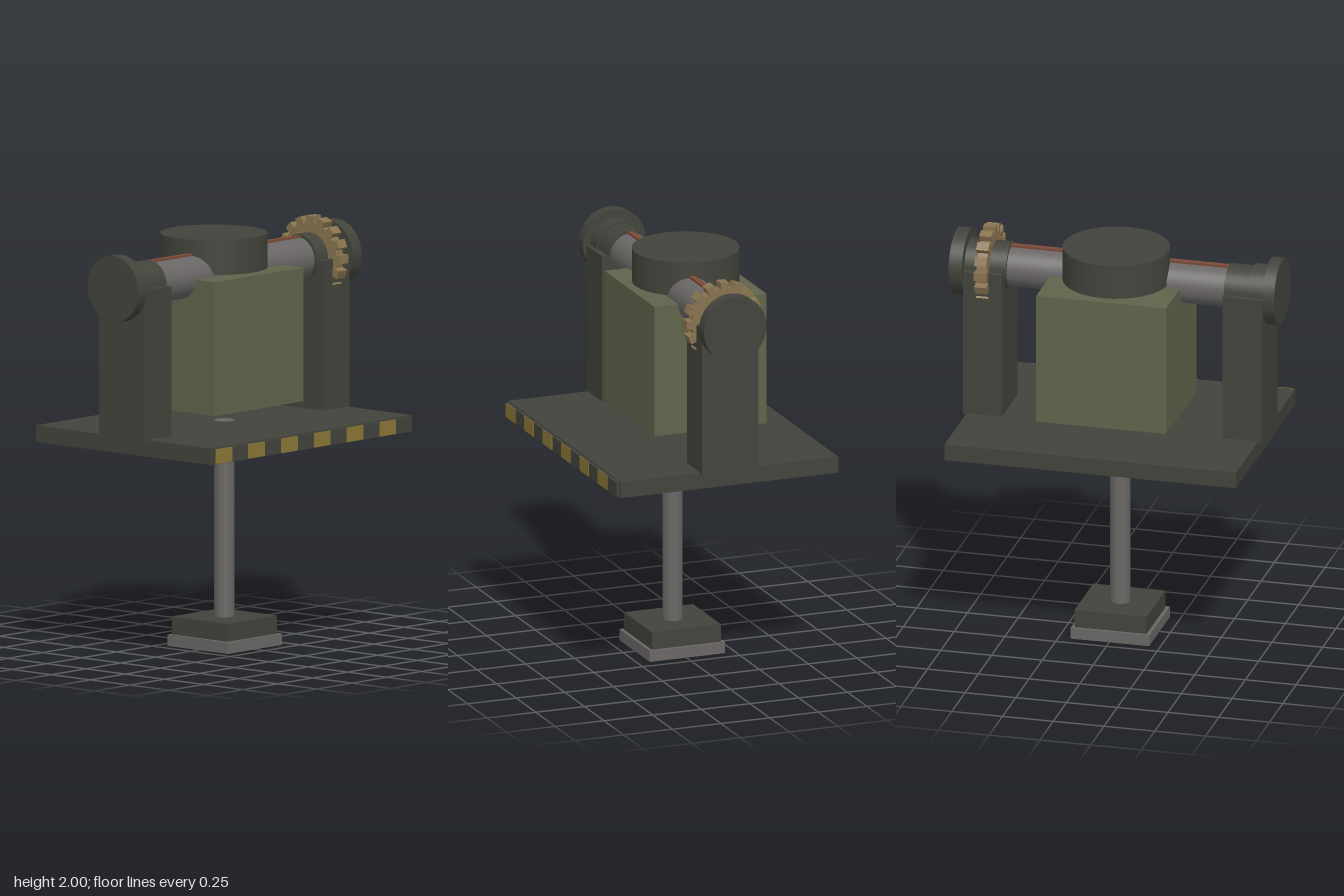
import * as THREE from 'three';

const mat = (name, color) => {
  const m = new THREE.MeshStandardMaterial({ color });
  m.name = name;
  return m;
};

export function createModel() {
  const model = new THREE.Group();
  model.name = 'tiltRig';

  const dark = mat('dark painted metal', 0x42433b);
  const olive = mat('olive paint', 0x60644a);
  const steel = mat('grey steel', 0x6a6666);
  const yellow = mat('hazard yellow', 0x8a7636);
  const bronze = mat('bronze', 0x88734f);
  const copper = mat('copper strip', 0x7a4a38);

  const add = (name, geometry, material, parent = model) => {
    const mesh = new THREE.Mesh(geometry, material);
    mesh.name = name;
    parent.add(mesh);
    return mesh;
  };
  // Box given by its limits on each axis
  const box = (name, material, [x0, x1], [y0, y1], [z0, z1], parent) => {
    const mesh = add(name, new THREE.BoxGeometry(x1 - x0, y1 - y0, z1 - z0), material, parent);
    mesh.position.set((x0 + x1) / 2, (y0 + y1) / 2, (z0 + z1) / 2);
    return mesh;
  };
  // Upright cylinder between two heights
  const column = (name, material, r, y0, y1, x, z, sides) => {
    const mesh = add(name, new THREE.CylinderGeometry(r, r, y1 - y0, sides), material);
    mesh.position.set(x, (y0 + y1) / 2, z);
  };
  // Cylinder lying on the tilt axis
  const axisY = 1.807, axisZ = -0.005;
  const axial = (name, material, r, x0, x1, sides = 32) => {
    const geometry = new THREE.CylinderGeometry(r, r, x1 - x0, sides).rotateZ(Math.PI / 2);
    add(name, geometry, material).position.set((x0 + x1) / 2, axisY, axisZ);
  };

  // Foot and post
  box('footPlate', steel, [-0.197, 0.19], [0, 0.055], [-0.197, 0.19]);
  box('footBlock', dark, [-0.18, 0.175], [0.055, 0.142], [-0.182, 0.173]);
  column('post', steel, 0.048, 0.14, 1.088, -0.004, -0.005, 24);

  // Platform with hazard trim along the front edge
  box('platform', dark, [-0.722, 0.714], [1.005, 1.085], [-0.568, 0.55]);
  box('trimBar', dark, [-0.708, 0.702], [1.01, 1.08], [0.545, 0.565]);
  const stripes = new THREE.Group();
  stripes.name = 'hazardStripes';
  model.add(stripes);
  const stripeWidth = 1.41 / 12;
  for (let i = 0; i < 6; i++) {
    const x = -0.708 + i * 2 * stripeWidth;
    box('hazardStripe', yellow, [x, x + stripeWidth], [1.01, 1.08], [0.561, 0.568], stripes);
  }

  // Uprights
  box('rightUpright', dark, [-0.74, -0.545], [1.08, 1.807], [-0.15, 0.14]);
  box('leftUpright', dark, [0.54, 0.732], [1.08, 1.807], [-0.15, 0.14]);

  // Shaft, bearings and end caps
  axial('shaft', steel, 0.1, -0.7, 0.7);
  axial('rightBearing', dark, 0.112, -0.67, -0.543);
  axial('rightCollar', dark, 0.123, -0.75, -0.665);
  axial('leftBearing', dark, 0.114, 0.53, 0.74);
  axial('rightEndCap', dark, 0.161, -0.803, -0.745);
  axial('leftEndCap', dark, 0.161, 0.735, 0.8);
  box('shaftStrip', copper, [-0.622, 0.61], [1.89, 1.916], [-0.021, 0.008]);

  // Gear ring with block teeth
  const gear = new THREE.Group();
  gear.name = 'gear';
  gear.position.set(0.637, axisY, axisZ);
  model.add(gear);
  add('gearDisc', new THREE.CylinderGeometry(0.165, 0.165, 0.05, 32).rotateZ(Math.PI / 2), bronze, gear);
  const teeth = 16;
  const toothGeometry = new THREE.BoxGeometry(0.06, 0.04, 0.042).translate(0, 0.174, 0);
  for (let i = 0; i < teeth; i++) {
    add('gearTooth', toothGeometry, bronze, gear).rotation.x = (i / teeth) * Math.PI * 2;
  }

  // Hanging housing and the drum on top
  box('housing', olive, [-0.322, 0.317], [1.163, 1.807], [-0.36, 0.216]);
  column('drum', dark, 0.257, 1.816, 1.983, -0.003, -0.073, 32);

  return model;
}
